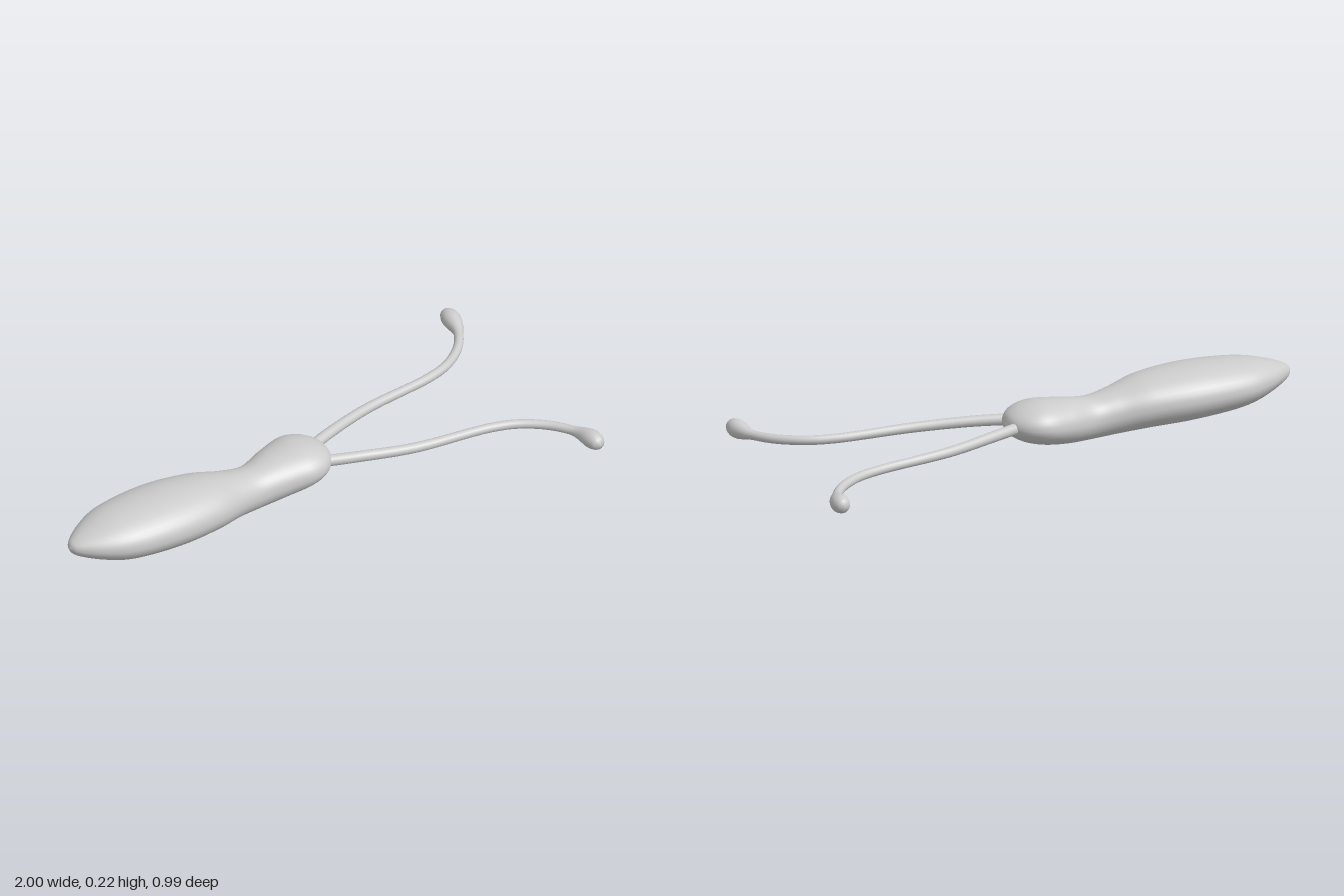
import * as THREE from 'three';
import { mergeVertices } from 'three/addons/utils/BufferGeometryUtils.js';

const material = new THREE.MeshStandardMaterial({ color: 0xcccccc });
const V = (x, y, z) => new THREE.Vector3(x, y, z);

// Weld seams so the smooth normals run across them
function smooth(geometry) {
  geometry.deleteAttribute('uv');
  geometry.deleteAttribute('normal');
  const welded = mergeVertices(geometry, 1e-5);
  welded.computeVertexNormals();
  return welded;
}

// Body sections along x: [x, top, bottom, back z, front z]
const SECTIONS = [
  [-1, 0.14, 0.14, 0, 0], [-0.985, 0.162, 0.116, -0.03, 0.03], [-0.9, 0.193, 0.075, -0.094, 0.094],
  [-0.8, 0.212, 0.044, -0.136, 0.134], [-0.6, 0.219, 0.022, -0.153, 0.153],
  [-0.42, 0.202, 0.014, -0.13, 0.132], [-0.3, 0.172, 0.006, -0.099, 0.093],
  [-0.21, 0.156, 0.001, -0.091, 0.079], [-0.1, 0.168, 0.006, -0.125, 0.091],
  [0, 0.175, 0.02, -0.145, 0.104], [0.06, 0.163, 0.037, -0.127, 0.088],
  [0.105, 0.138, 0.064, -0.083, 0.043], [0.125, 0.1, 0.1, -0.02, -0.02],
];

function bodyGeometry() {
  const edge = (top) => new THREE.CatmullRomCurve3(SECTIONS.map((s) => top ? V(s[0], s[1], s[3]) : V(s[0], s[2], s[4])), false, 'centripetal');
  const upper = edge(true), lower = edge(false);
  const rings = 96, sides = 40;
  // A unit cylinder grid lofted through the sections
  const geometry = new THREE.CylinderGeometry(1, 1, 1, sides, rings, true);
  const pos = geometry.attributes.position;
  for (let i = 0; i < pos.count; i++) {
    const t = 0.5 - pos.getY(i);
    const a = upper.getPoint(t), b = lower.getPoint(t);
    const c = pos.getX(i), s = pos.getZ(i);
    // Broader above, more rounded to a keel below
    const lift = Math.sign(c) * Math.pow(Math.abs(c), c > 0 ? 0.9 : 1.05);
    pos.setXYZ(i, (a.x + b.x) / 2,
      (a.y + b.y) / 2 + lift * (a.y - b.y) / 2,
      (a.z + b.z) / 2 + s * (b.z - a.z) / 2);
  }
  return smooth(geometry);
}

// Tube whose radius follows rule(u), u = 0 to 1 along its length
function taperedTube(curve, rule, segments = 96, sides = 16) {
  const geometry = new THREE.TubeGeometry(curve, segments, 1, sides);
  const pos = geometry.attributes.position;
  const p = V(0, 0, 0);
  for (let i = 0; i < pos.count; i++) {
    const u = Math.floor(i / (sides + 1)) / segments;
    const centre = curve.getPointAt(u);
    p.fromBufferAttribute(pos, i).sub(centre).multiplyScalar(rule(u)).add(centre);
    pos.setXYZ(i, p.x, p.y, p.z);
  }
  return smooth(geometry);
}

// Slender stalk swelling into a rounded bulb at its end
function stalkRadius(u) {
  const stalk = 0.021 - 0.004 * Math.min(u / 0.5, 1);
  const start = 0.86, peak = 0.95;
  if (u < start) return stalk;
  if (u < peak) return stalk + (0.034 - stalk) * THREE.MathUtils.smoothstep(u, start, peak);
  return 0.034 * Math.sqrt(Math.max(0, 1 - ((u - peak) / (1 - peak)) ** 2));
}

export function createModel() {
  const group = new THREE.Group();
  const add = (name, geometry) => {
    const mesh = new THREE.Mesh(geometry, material);
    mesh.name = name;
    group.add(mesh);
  };

  add('body', bodyGeometry());

  // The two feelers mirror each other about a slightly offset axis
  for (const [name, side, dx] of [['frontFeeler', 1, -0.012], ['backFeeler', -1, 0]]) {
    const path = [
      [0.07, 0.1, 0.044], [0.2, 0.096, 0.09], [0.4, 0.085, 0.146], [0.7, 0.073, 0.187],
      [0.8, 0.07, 0.222], [0.89, 0.067, 0.29], [0.945, 0.066, 0.37], [0.965, 0.068, 0.44], [0.967, 0.07, 0.494],
    ].map(([x, y, z], i) => V(x + dx * i / 8, y, side * z - 0.008 * (1 - i / 8)));
    add(name, taperedTube(new THREE.CatmullRomCurve3(path), stalkRadius));
  }
  return group;
}
